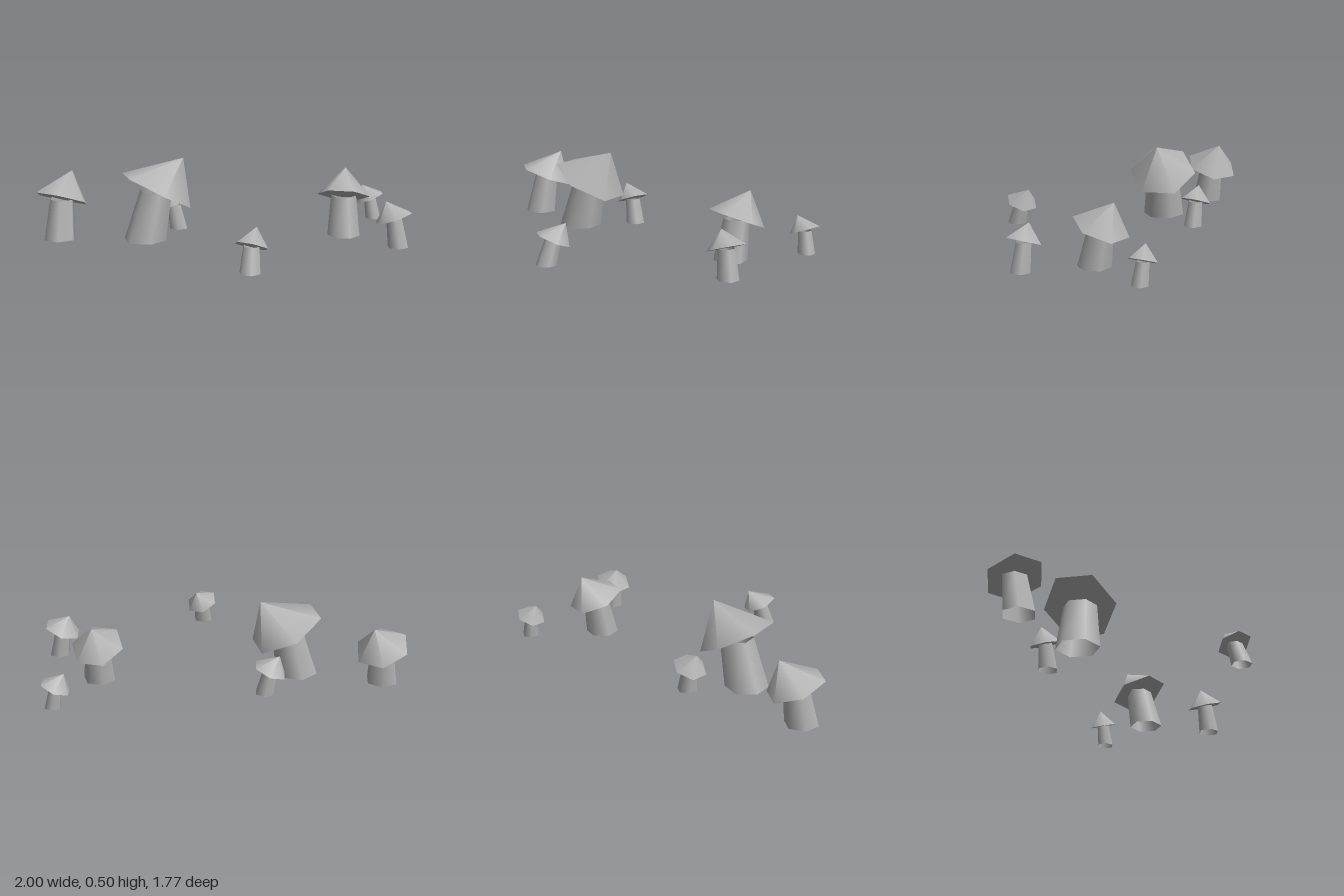
import * as THREE from 'three';

// Each mushroom: stem foot [x, y, z, radius], cap rim centre [x, y, z, radius],
// rim slope along x and z, cap tip [x, y, z], turn of the hexagon in degrees.
const MUSHROOMS = [
  { foot: [-0.88, 0.005, -0.71, 0.1], rim: [-0.842, 0.245, -0.733, 0.166], slope: [-0.37, 0.11], tip: [-0.745, 0.405, -0.755], turn: 11 },
  { foot: [-0.53, 0.015, -0.31, 0.13], rim: [-0.462, 0.315, -0.283, 0.213], slope: [-0.487, -0.213], tip: [-0.313, 0.508, -0.205], turn: -6 },
  { foot: [-0.19, 0.015, -0.41, 0.06], rim: [-0.209, 0.17, -0.433, 0.1], slope: [0.27, 0.28], tip: [-0.254, 0.262, -0.467], turn: 10 },
  { foot: [-0.545, 0.015, 0.66, 0.062], rim: [-0.51, 0.158, 0.633, 0.098], slope: [-0.42, 0.15], tip: [-0.44, 0.25, 0.6], turn: 3 },
  { foot: [0.922, 0.015, 0.215, 0.052], rim: [0.909, 0.15, 0.195, 0.09], slope: [0.3, 0.25], tip: [0.864, 0.235, 0.167], turn: 9 },
  { foot: [0.485, 0.003, 0.374, 0.1], rim: [0.516, 0.245, 0.34, 0.163], slope: [-0.32, 0.236], tip: [0.591, 0.402, 0.281], turn: -8 },
  { foot: [0.505, 0.01, 0.805, 0.064], rim: [0.492, 0.185, 0.78, 0.112], slope: [0.22, 0.28], tip: [0.46, 0.283, 0.743], turn: 8 },
];

// Maps a unit solid (radius 1, y from 0 to 1) onto a leaning one with a sloped base.
function lean(geometry, base, top, slope, turn) {
  const [x, y, z, r] = base;
  geometry.translate(0, 0.5, 0);
  geometry.rotateY(THREE.MathUtils.degToRad(30 - turn));
  return geometry.applyMatrix4(new THREE.Matrix4().set(
    r, top[0] - x, 0, x,
    r * slope[0], top[1] - y, r * slope[1], y,
    0, top[2] - z, r, z,
    0, 0, 0, 1,
  ));
}

export function createModel() {
  const model = new THREE.Group();
  model.name = 'mushroomPatch';
  const grey = new THREE.MeshStandardMaterial({ color: 0xb4b4b4, side: THREE.DoubleSide });
  grey.name = 'plain grey';

  for (const { foot, rim, slope, tip, turn } of MUSHROOMS) {
    const mushroom = new THREE.Group();
    mushroom.name = 'mushroom';

    // Six-sided tapering stem, open at both ends, reaching up to the cap
    const stem = new THREE.Mesh(
      lean(new THREE.CylinderGeometry(0.77, 1, 1, 6, 1, true), foot, rim, [0, 0], turn), grey);
    stem.name = 'stem';

    // Six-sided tilted cap with a closed underside
    const cap = new THREE.Mesh(
      lean(new THREE.ConeGeometry(1, 1, 6), rim, tip, slope, turn), grey);
    cap.name = 'cap';

    mushroom.add(stem, cap);
    model.add(mushroom);
  }
  return model;
}
